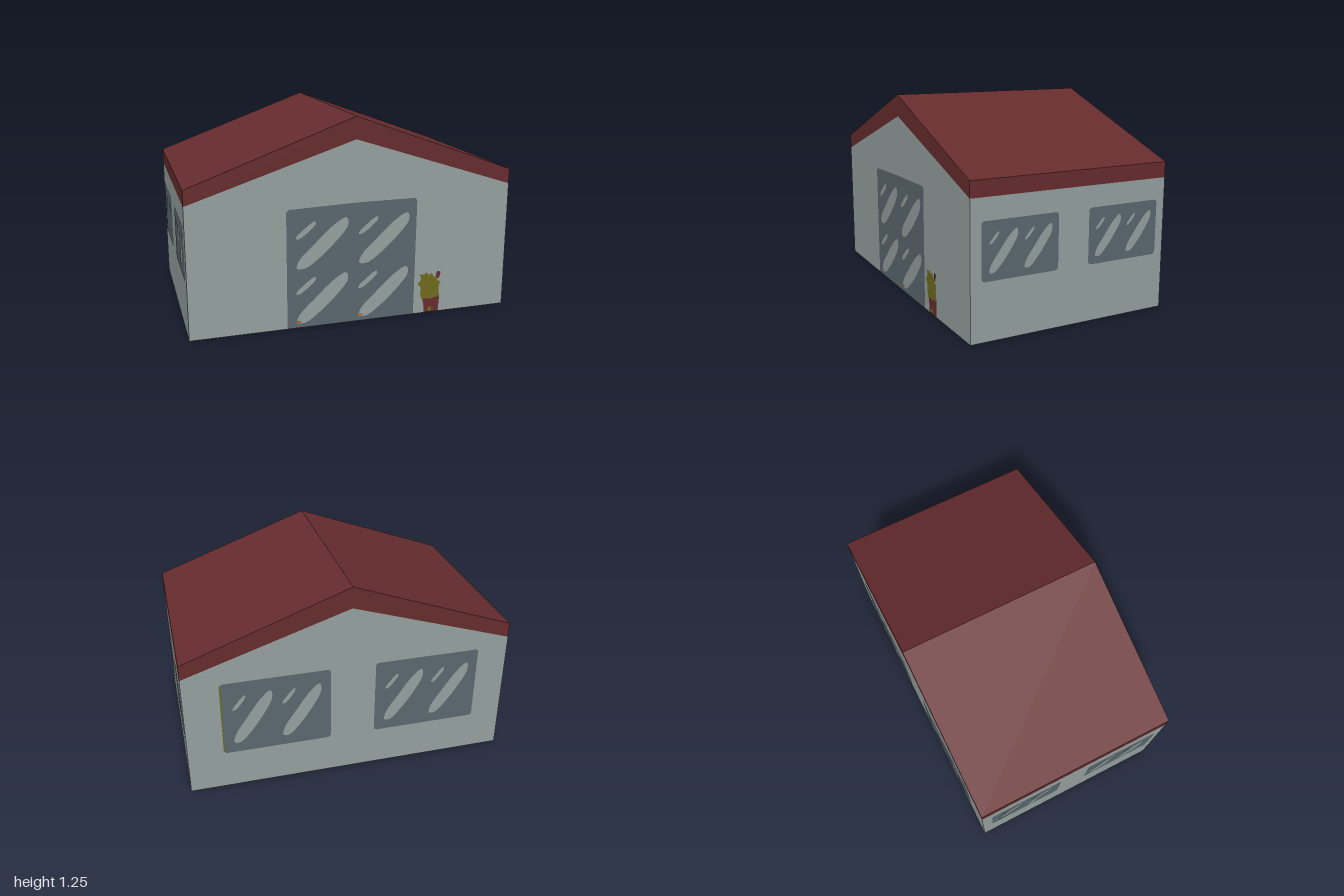
import * as THREE from 'three';

const mat = (name, color) => new THREE.MeshStandardMaterial({ name, color });
const wallGrey = mat('wall grey', 0x96a2a1);
const glassBlue = mat('glass blue grey', 0x5b6970);
const roofRed = mat('roof red', 0x672c2e);
const leafOlive = mat('leaf olive', 0x6f6b1e);
const dotOrange = mat('dot orange', 0xa8642a);

const W = 0.998, D = 0.635; // half width and half depth
const LIFT = 0.001;         // spacing between painted layers

const toVectors = (pts) => pts.map(([x, y]) => new THREE.Vector2(x, y));

// Flat painted face in the xy plane, facing +z
function decal(name, material, pts, layer = 1) {
  const mesh = new THREE.Mesh(new THREE.ShapeGeometry(new THREE.Shape(toVectors(pts))), material);
  mesh.name = name;
  mesh.position.z = layer * LIFT;
  return mesh;
}

// Closed smooth outline through a few points
function smooth(pts, n = 28) {
  const curve = new THREE.CatmullRomCurve3(pts.map(([x, y]) => new THREE.Vector3(x, y, 0)), true);
  return curve.getPoints(n).slice(0, n).map((p) => [p.x, p.y]);
}

// Rounded rectangle from the origin
function roundedRect(w, h, r) {
  const pts = [];
  [[w - r, r, -1], [w - r, h - r, 0], [r, h - r, 1], [r, r, 2]].forEach(([cx, cy, q]) => {
    for (let i = 0; i <= 3; i++) {
      const a = (q + i / 3) * Math.PI / 2;
      pts.push([cx + r * Math.cos(a), cy + r * Math.sin(a)]);
    }
  });
  return pts;
}

// Slanted reflection in a unit box
const GLINT = [[0, 0.02], [0.04, 0.18], [0.34, 0.5], [0.7, 0.85], [0.96, 1], [1, 0.85], [0.74, 0.5], [0.42, 0.19], [0.16, 0.01]];
function glint(x, y, w, h) {
  return decal('glint', wallGrey, smooth(GLINT.map(([u, v]) => [x + u * w, y + v * h])), 2);
}

// Window pane with two pairs of reflections, lower left corner at (x, y)
function windowPane(x, y, w, h) {
  const g = new THREE.Group();
  g.name = 'window';
  g.add(decal('pane', glassBlue, roundedRect(w, h, 0.02)));
  for (const u of [0.1, 0.55]) {
    g.add(glint(u * w, 0.13 * h, 0.36 * w, 0.7 * h));
    g.add(glint(u * w, 0.61 * h, 0.12 * w, 0.2 * h));
  }
  g.position.set(x, y, 0);
  return g;
}

// Prism along z from a front outline
function prism(name, material, pts) {
  const geo = new THREE.ExtrudeGeometry(new THREE.Shape(toVectors(pts)), { depth: 2 * D, bevelEnabled: false });
  geo.translate(0, 0, -D);
  const mesh = new THREE.Mesh(geo, material);
  mesh.name = name;
  return mesh;
}

// Group standing on one wall, facing outward
function facade(name, angle, distance) {
  const g = new THREE.Group();
  g.name = name;
  g.rotation.y = angle;
  g.position.set(Math.sin(angle) * distance, 0, Math.cos(angle) * distance);
  return g;
}

function makeFront() {
  const front = facade('frontDetails', 0, D);
  front.add(decal('door', glassBlue, [[-0.42, 0.003], [0.382, 0.003], [0.388, 0.735], [0.375, 0.75],
    [0, 0.748], [-0.405, 0.735], [-0.42, 0.72]]));
  for (const dx of [0, 0.385]) {
    for (const dy of [0, -0.34]) {
      front.add(glint(-0.36 + dx, 0.37 + dy, 0.315, 0.295));
      front.add(glint(-0.365 + dx, 0.555 + dy, 0.12, 0.1));
    }
    front.add(decal('orangeDot', dotOrange, [[-0.37 + dx, 0.035], [-0.335 + dx, 0.035],
      [-0.335 + dx, 0.047], [-0.36 + dx, 0.05]], 3));
  }
  // Potted plant beside the door
  const plant = new THREE.Group();
  plant.name = 'pottedPlant';
  plant.add(decal('pot', roofRed, [[0.455, 0.003], [0.55, 0.003], [0.557, 0.115], [0.435, 0.115], [0.45, 0.06]]));
  plant.add(decal('leaves', leafOlive, [[0.44, 0.09], [0.47, 0.1], [0.5, 0.09], [0.52, 0.1], [0.553, 0.1],
    [0.55, 0.17], [0.56, 0.2], [0.535, 0.21], [0.55, 0.24], [0.515, 0.235], [0.5, 0.26], [0.478, 0.25],
    [0.465, 0.27], [0.45, 0.255], [0.415, 0.26], [0.43, 0.235], [0.425, 0.215], [0.407, 0.2], [0.43, 0.17],
    [0.425, 0.13]], 2));
  plant.add(decal('potSpot', leafOlive, [[0.475, 0.015], [0.5, 0.012], [0.508, 0.035], [0.485, 0.042]], 2));
  plant.add(decal('flower', roofRed, [[0.535, 0.225], [0.55, 0.225], [0.56, 0.265], [0.535, 0.27], [0.527, 0.25]], 3));
  front.add(plant);
  return front;
}

function makeFloor() {
  const floor = new THREE.Group();
  floor.name = 'floor';
  floor.add(decal('floorBase', glassBlue, [[-W, -D], [W, -D], [W, D], [-W, D]]));
  // Broad reflections: fractions of the width and depth from the back corner
  const bands = [
    [[0, 0.518], [0.089, 0.298], [0.185, 0], [0.266, 0], [0.234, 0.262], [0.158, 0.427], [0.034, 0.656], [0, 0.704]],
    [[0.221, 0.799], [0.203, 0.705], [0.299, 0.539], [0.43, 0.339], [0.445, 0.37], [0.42, 0.535], [0.316, 0.724], [0.26, 0.811]],
    [[0.554, 0.786], [0.537, 0.717], [0.613, 0.474], [0.69, 0], [0.83, 0], [0.73, 0.423], [0.73, 0.578], [0.578, 0.793]],
    [[0.874, 0.817], [0.872, 0.69], [0.951, 0.454], [1, 0.238], [1, 0.66], [0.936, 0.773]],
  ];
  for (const b of bands) {
    floor.add(decal('floorGlint', wallGrey, b.map(([u, v]) => [W - 2 * W * u, -D + 2 * D * v]), 2));
  }
  floor.rotation.x = Math.PI / 2;
  floor.position.y = 0.002;
  return floor;
}

export function createModel() {
  const house = new THREE.Group();
  house.name = 'house';

  house.add(prism('walls', wallGrey, [[-W, 0.003], [W, 0.003], [W, 0.797], [0, 1.122], [-W, 0.797]]));
  house.add(prism('roof', roofRed, [[-W, 0.797], [0, 1.122], [W, 0.797], [W, 0.89], [0, 1.255], [-W, 0.89]]));
  house.add(makeFront(), makeFloor());

  // Side windows, the same as seen from either side
  for (const s of [1, -1]) {
    const side = facade(s > 0 ? 'leftDetails' : 'rightDetails', s * Math.PI / 2, W);
    side.add(windowPane(-0.57, 0.34, 0.475, 0.33), windowPane(0.105, 0.34, 0.475, 0.33));
    house.add(side);
  }

  // Back windows and the olive edge line
  const back = facade('backDetails', Math.PI, D);
  back.add(windowPane(-0.78, 0.25, 0.655, 0.487), windowPane(0.152, 0.25, 0.655, 0.487));
  back.add(decal('oliveEdge', leafOlive, [[-0.784, 0.26], [-0.776, 0.26], [-0.776, 0.725], [-0.784, 0.725]], 2));
  house.add(back);

  return house;
}
